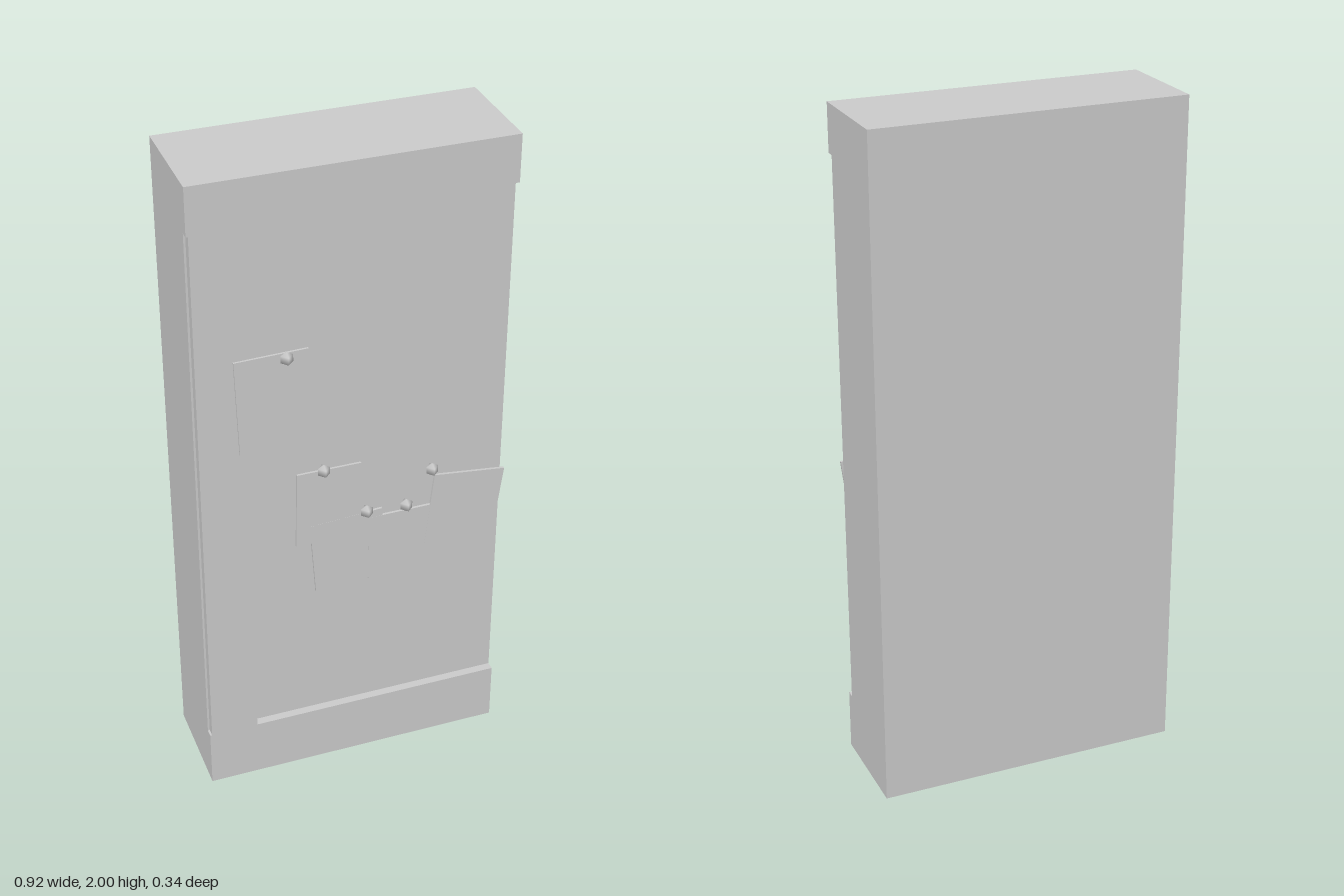
import * as THREE from 'three';

const material = new THREE.MeshStandardMaterial({ color: 0xcccccc });

export function createModel() {
  const group = new THREE.Group();
  group.name = 'noticeBoard';

  const add = (name, geometry) => {
    const mesh = new THREE.Mesh(geometry, material);
    mesh.name = name;
    group.add(mesh);
    return mesh;
  };

  // Box given by its two opposite corners
  const block = (name, [x0, y0, z0], [x1, y1, z1]) =>
    add(name, new THREE.BoxGeometry(x1 - x0, y1 - y0, z1 - z0))
      .position.set((x0 + x1) / 2, (y0 + y1) / 2, (z0 + z1) / 2);

  // Slab, with rails and one side post framing a panel open on the left side
  const W = 0.458, back = -0.172, panel = 0.119, front = 0.144;
  const low = 0.185, high = 1.86;
  block('backSlab', [-W, 0, back], [W, 2, panel]);
  block('bottomRail', [-W, 0, panel], [W, low, front]);
  block('topRail', [-W, high, panel], [W, 2, front]);
  block('sidePost', [-0.452, low, panel], [-0.31, high, front]);

  // Thin, slightly crooked sheets pinned in front of the panel
  const sheets = [
    [[-0.347, 1.47], [-0.337, 1.173], [-0.127, 1.18], [-0.137, 1.475]],
    [[-0.175, 1.07], [-0.18, 0.825], [0.015, 0.83], [0.015, 1.07]],
    [[-0.138, 0.885], [-0.122, 0.648], [0.095, 0.664], [0.08, 0.898]],
    [[0.04, 0.873], [0.04, 0.654], [0.293, 0.645], [0.285, 0.875]],
    [[0.24, 0.975], [0.212, 0.728], [0.425, 0.7], [0.457, 0.95]],
  ];
  sheets.forEach((corners, i) => {
    const shape = new THREE.Shape(corners.map(([x, y]) => new THREE.Vector2(x, y)));
    const depth = 0.0065 + 0.0004 * i;
    add('sheet' + (i + 1), new THREE.ExtrudeGeometry(shape, { depth, bevelEnabled: false }))
      .position.z = front - 0.0005;
  });

  // Faceted pin heads
  const pinHead = new THREE.SphereGeometry(0.0208, 4, 3);
  const pins = [[-0.2, 1.458], [-0.097, 1.07], [0.032, 0.9], [0.153, 0.893], [0.23, 1.0]];
  pins.forEach(([x, y], i) => add('pin' + (i + 1), pinHead).position.set(x, y, 0.154));

  return group;
}
